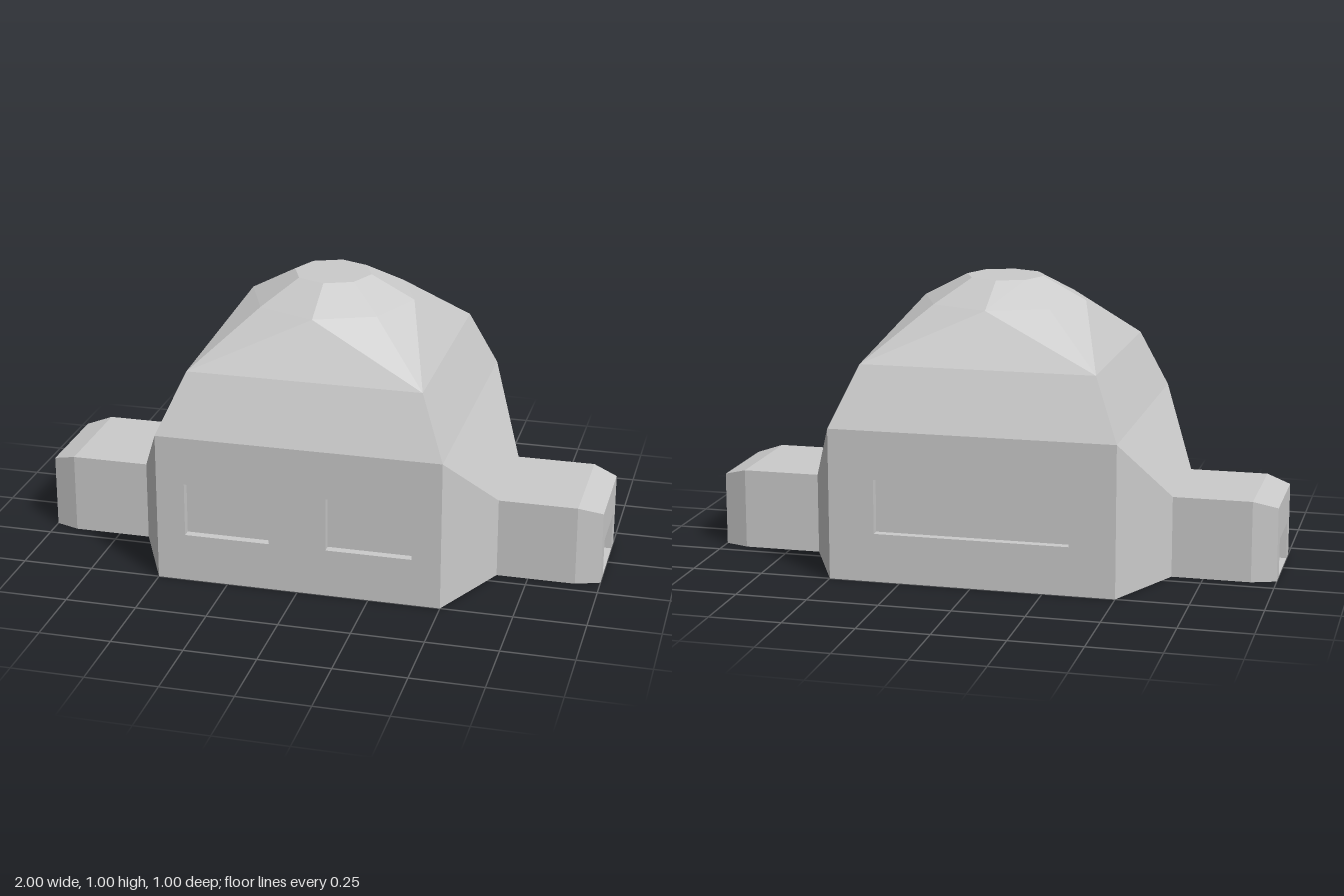
import * as THREE from 'three';

const material = new THREE.MeshStandardMaterial({ color: 0xcccccc, flatShading: true });

// Mesh from flat convex polygons, corners counter-clockwise seen from outside
function polyMesh(name, polygons) {
  const pos = [];
  for (const p of polygons)
    for (let i = 1; i < p.length - 1; i++) pos.push(...p[0], ...p[i], ...p[i + 1]);
  const geometry = new THREE.BufferGeometry();
  geometry.setAttribute('position', new THREE.Float32BufferAttribute(pos, 3));
  geometry.computeVertexNormals();
  const mesh = new THREE.Mesh(geometry, material);
  mesh.name = name;
  return mesh;
}

// Corners of an upright rectangle, counter-clockwise
const rect = (x0, y0, x1, y1) => [[x0, y0], [x1, y0], [x1, y1], [x0, y1]];

// Wall facing +z with recessed openings
function wall(name, outline, openings, depth) {
  const group = new THREE.Group();
  group.name = name;
  const toShape = (pts, Type) => new Type(pts.map(([x, y]) => new THREE.Vector2(x, y)));
  const shape = toShape(outline, THREE.Shape);
  const faces = [];
  for (const o of openings) {
    shape.holes.push(toShape([...o].reverse(), THREE.Path));
    const front = o.map(([x, y]) => [x, y, 0]);
    const back = o.map(([x, y]) => [x, y, -depth]);
    faces.push(back);
    for (let i = 0; i < 4; i++) {
      const j = (i + 1) % 4;
      faces.push([front[i], front[j], back[j], back[i]]);
    }
  }
  const face = new THREE.Mesh(new THREE.ShapeGeometry(shape), material);
  face.name = name + 'Face';
  group.add(face, polyMesh(name + 'Recess', faces));
  return group;
}

// Faceted roof: square eaves closing into an octagonal crown
function roof() {
  const faces = [], cap = [];
  const e = 0.5, s = 0.41, r = 0.29, t = 0.137, k = Math.SQRT1_2;
  for (let q = 0; q < 4; q++) {
    const c = Math.round(Math.cos(q * Math.PI / 2)), n = Math.round(Math.sin(q * Math.PI / 2));
    const p = (x, y, z) => [x * c + z * n, y, z * c - x * n];
    const left = p(-s, 0.74, s), right = p(s, 0.74, s);
    const apex = p(0, 0.92, r), top = p(0, 1, t);
    faces.push([p(-e, 0.53, e), p(e, 0.53, e), right, left], [left, right, apex]);
    const dl = p(-r * k, 0.92, r * k), dr = p(r * k, 0.92, r * k);
    const tl = p(-t * k, 1, t * k), tr = p(t * k, 1, t * k);
    faces.push([right, dr, apex], [left, apex, dl]);
    faces.push([apex, dr, tr, top], [dl, apex, top, tl]);
    cap.push(top, tr);
  }
  return polyMesh('roof', [...faces, cap]);
}

// Tapered side wing leading to a bevelled entrance tunnel along +x
function wing(name) {
  const group = new THREE.Group();
  group.name = name;
  const section = (x, w, h) => [[x, 0, w], [x, h, w], [x, h, -w], [x, 0, -w]];
  const rings = [
    section(0.5, 0.5, 0.53), section(0.64, 0.2, 0.285),
    section(0.915, 0.2, 0.285), section(1, 0.17, 0.26),
  ];
  const names = ['wingTaper', 'tunnel', 'tunnelBevel'];
  names.forEach((part, n) => {
    const a = rings[n], b = rings[n + 1];
    group.add(polyMesh(part, a.map((_, i) => {
      const j = (i + 1) % 4;
      return [a[i], b[i], b[j], a[j]];
    })));
  });
  const door = wall('doorWall', rect(-0.17, 0, 0.17, 0.26), [rect(-0.11, 0.003, 0.11, 0.135)], 0.05);
  door.rotation.y = Math.PI / 2;
  door.position.x = 1;
  group.add(door);
  return group;
}

export function createModel() {
  const model = new THREE.Group();
  model.name = 'domedBuilding';
  model.add(roof());

  // Front wall with two windows, back wall with one wide window
  const outline = rect(-0.5, 0, 0.5, 0.53);
  const front = wall('frontWall', outline, [rect(-0.4, 0.17, -0.1, 0.36), rect(0.1, 0.17, 0.4, 0.36)], 0.03);
  front.position.z = 0.5;
  const back = wall('backWall', outline, [rect(-0.34, 0.17, 0.34, 0.36)], 0.03);
  back.rotation.y = Math.PI;
  back.position.z = -0.5;

  // Mirrored wings and floor
  const leftWing = wing('leftWing');
  const rightWing = wing('rightWing');
  rightWing.rotation.y = Math.PI;
  const floor = polyMesh('floor', [[[-0.5, 0, -0.5], [0.5, 0, -0.5], [0.5, 0, 0.5], [-0.5, 0, 0.5]]]);
  model.add(front, back, leftWing, rightWing, floor);
  return model;
}
